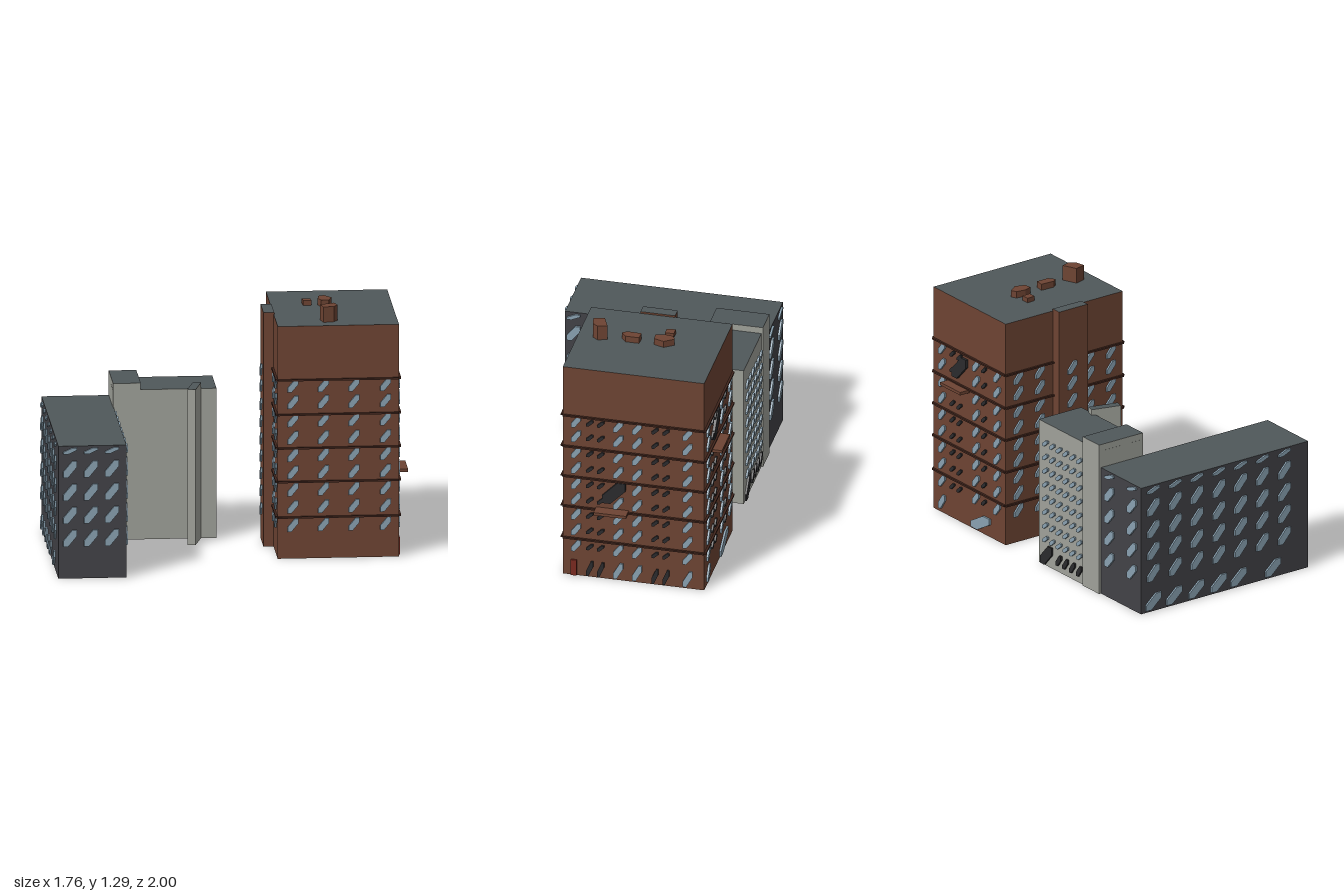
import * as THREE from 'three';
import { mergeGeometries } from 'three/addons/utils/BufferGeometryUtils.js';

const mat = (color) => new THREE.MeshStandardMaterial({ color, flatShading: true, side: THREE.DoubleSide });
const BRICK = mat(0x6e4433), SLATE = mat(0x424247), STONE = mat(0xa0a29a), ROOF = mat(0x50585a);
const GLASS = mat(0x8aa2b2), DARK = mat(0x2b2b2d), LEDGE = mat(0x42261d), RED = mat(0x7a2a20);

function add(parent, name, geometry, material, x = 0, y = 0, z = 0) {
  const mesh = new THREE.Mesh(geometry, material);
  mesh.name = name;
  mesh.position.set(x, y, z);
  parent.add(mesh);
  return mesh;
}

// Block open at the bottom, with walls and roof as separate parts
function block(parent, name, [w, h, d], wall, x = 0, z = 0, turn = 0) {
  const group = new THREE.Group();
  group.name = name;
  group.position.set(x, 0, z);
  group.rotation.y = turn;
  const box = new THREE.BoxGeometry(w, h, d).translate(0, h / 2, 0);
  const index = Array.from(box.index.array);
  const walls = box.clone(), roof = box.clone();
  walls.setIndex([...index.slice(0, 12), ...index.slice(24, 36)]);
  roof.setIndex(index.slice(12, 18));
  add(group, name + 'Walls', walls, wall);
  add(group, name + 'Roof', roof, ROOF);
  group.userData.size = [w, h, d];
  parent.add(group);
  return group;
}

// Frame on a wall: x runs right as seen from outside, z points outwards
function face(building, name, quarter) {
  const [w, , d] = building.userData.size;
  const dist = (quarter % 2 ? w : d) / 2, a = quarter * Math.PI / 2;
  const group = new THREE.Group();
  group.name = name;
  group.rotation.y = a;
  group.position.set(Math.sin(a) * dist, 0, Math.cos(a) * dist);
  group.userData.width = quarter % 2 ? d : w;
  building.add(group);
  return group;
}

// Slanted six-sided pane, one unit wide and high
const paneShape = new THREE.Shape(
  [[-0.5, -0.5], [-0.15, -0.5], [0.5, 0.15], [0.5, 0.5], [0.15, 0.5], [-0.5, -0.15]]
    .map(([x, y]) => new THREE.Vector2(x, y)));
const pane = new THREE.ExtrudeGeometry(paneShape, { depth: 0.014, bevelEnabled: false }).translate(0, 0, -0.004);

// Panes at every crossing of the columns and rows, merged into one mesh
function panes(wall, name, columns, rows, w, h, material = GLASS, z = 0) {
  const parts = [];
  for (const s of columns) for (const y of rows) parts.push(pane.clone().scale(w, h, 1).translate(s, y, z));
  add(wall, name, mergeGeometries(parts), material);
}

const series = (start, step, count) => Array.from({ length: count }, (_, i) => start + i * step);

function buildTower(root) {
  const tower = block(root, 'tower', [0.615, 1.21, 0.735], BRICK, 0.3975, -0.52, Math.PI / 4);
  const rows = [0.9, 0.815, 0.72, 0.63, 0.54, 0.45, 0.36, 0.27, 0.175];
  const [front, right, back, left] = ['towerFront', 'towerRight', 'towerBack', 'towerLeft']
    .map((name, i) => face(tower, name, i));

  // String courses
  for (const wall of [front, right, back, left])
    for (const y of [0.93, 0.75, 0.575, 0.4, 0.215])
      add(wall, 'ledge', new THREE.BoxGeometry(wall.userData.width, 0.009, 0.014), LEDGE, 0, y, 0.004);

  panes(front, 'windows', [-0.23, -0.075, 0.08, 0.24], rows, 0.055, 0.066);
  panes(left, 'windows', [-0.29, -0.155, 0.155, 0.29], rows, 0.055, 0.066);

  // Shaft on the left wall
  const shaft = block(left, 'shaft', [0.18, 1.22, 0.055], BRICK, 0.02, 0.024);
  panes(face(shaft, 'shaftFront', 0), 'shaftWindows', [-0.01], rows, 0.055, 0.066);

  // Right wall: large and small windows, tall ground floor
  panes(right, 'windows', [-0.297, -0.078, 0.02, 0.283], rows, 0.05, 0.066);
  panes(right, 'smallWindows', [-0.226, -0.17, 0.113, 0.17], rows, 0.036, 0.034, DARK);
  panes(right, 'groundWindows', [-0.078, 0.02, 0.283], [0.055], 0.05, 0.09);
  panes(right, 'groundDoors', [-0.226, -0.17, 0.113, 0.17], [0.05], 0.036, 0.085, DARK);
  add(right, 'redDoor', new THREE.BoxGeometry(0.03, 0.09, 0.012), RED, -0.31, 0.045, 0.002);

  // Back wall
  panes(back, 'windows', [-0.23, 0.06, 0.24], rows, 0.055, 0.066);
  panes(back, 'smallWindows', [-0.14, -0.08, 0.13], rows, 0.036, 0.034, DARK);
  panes(back, 'entrance', [0.1], [0.055], 0.16, 0.09);
  panes(back, 'groundWindows', [-0.23], [0.06], 0.055, 0.08);

  // Canopies with a dark opening above
  for (const [wall, s, y] of [[right, -0.11, 0.405], [back, -0.085, 0.74]]) {
    add(wall, 'canopy', new THREE.BoxGeometry(0.17, 0.016, 0.06), BRICK, s, y, 0.03);
    panes(wall, 'canopyOpening', [s + 0.01], [y + 0.105], 0.12, 0.125, DARK, 0.004);
  }
}

// Many-sided boxes on the tower roof: outline in x and z, then height
function buildRoofBoxes(root) {
  const boxes = [
    [[[0.27, -0.56], [0.28, -0.59], [0.34, -0.58], [0.365, -0.53], [0.34, -0.5], [0.3, -0.52]], 1.245],
    [[[0.215, -0.495], [0.245, -0.525], [0.28, -0.495], [0.25, -0.465]], 1.235],
    [[[0.39, -0.45], [0.425, -0.48], [0.475, -0.43], [0.47, -0.39], [0.44, -0.395]], 1.243],
    [[[0.51, -0.29], [0.54, -0.365], [0.585, -0.34], [0.59, -0.305], [0.56, -0.26]], 1.29]];
  for (const [outline, top] of boxes) {
    const shape = new THREE.Shape(outline.map(([x, z]) => new THREE.Vector2(x, -z)));
    const geometry = new THREE.ExtrudeGeometry(shape, { depth: top - 1.2, bevelEnabled: false });
    add(root, 'roofBox', geometry.rotateX(-Math.PI / 2), BRICK, 0, 1.2, 0);
  }
}

function buildLongBlock(root) {
  const long = block(root, 'longBlock', [0.345, 0.69, 1.05], SLATE, -0.385, 0.5, Math.PI / 4);
  const rows = [0.57, 0.45, 0.33, 0.21];
  const walls = [
    ['longFront', series(-0.113, 0.106, 3), 0.07],
    ['longRight', series(-0.48, 0.112, 7), 0.07],
    ['longBack', [-0.09, 0.1], 0.075],
    ['longLeft', series(-0.45, 0.137, 7), 0.075]];
  walls.forEach(([name, columns, w], i) => {
    const wall = face(long, name, i);
    panes(wall, 'windows', columns, rows, w, 0.085);
    panes(wall, 'topWindows', columns, [0.665], w, 0.032);
    if (i === 3) panes(wall, 'groundWindows', [-0.45, -0.32, -0.18, -0.04, 0.085, 0.3], [0.055], 0.095, 0.085);
  });
}

function buildWing(root) {
  const wing = block(root, 'wing', [0.525, 0.78, 0.265], STONE, -0.36, -0.085, Math.PI / 4);
  // Raised stair block beside the long block
  block(wing, 'stairBlock', [0.14, 0.815, 0.275], STONE, -0.192, -0.003);
  const back = face(wing, 'wingBack', 2);
  panes(back, 'windows', series(-0.2, 0.058, 6), series(0.145, 0.075, 8), 0.045, 0.036);
  panes(back, 'groundWindows', series(-0.085, 0.058, 4), [0.065], 0.045, 0.06, DARK);
  panes(back, 'door', [-0.19], [0.06], 0.1, 0.11, DARK);
  // Slim fin standing off the wing
  block(root, 'fin', [0.042, 0.81, 0.16], STONE, -0.12, -0.05, Math.PI / 6);
}

export function createModel() {
  const root = new THREE.Group();
  root.name = 'buildings';
  buildTower(root);
  buildRoofBoxes(root);
  buildLongBlock(root);
  buildWing(root);
  return root;
}
